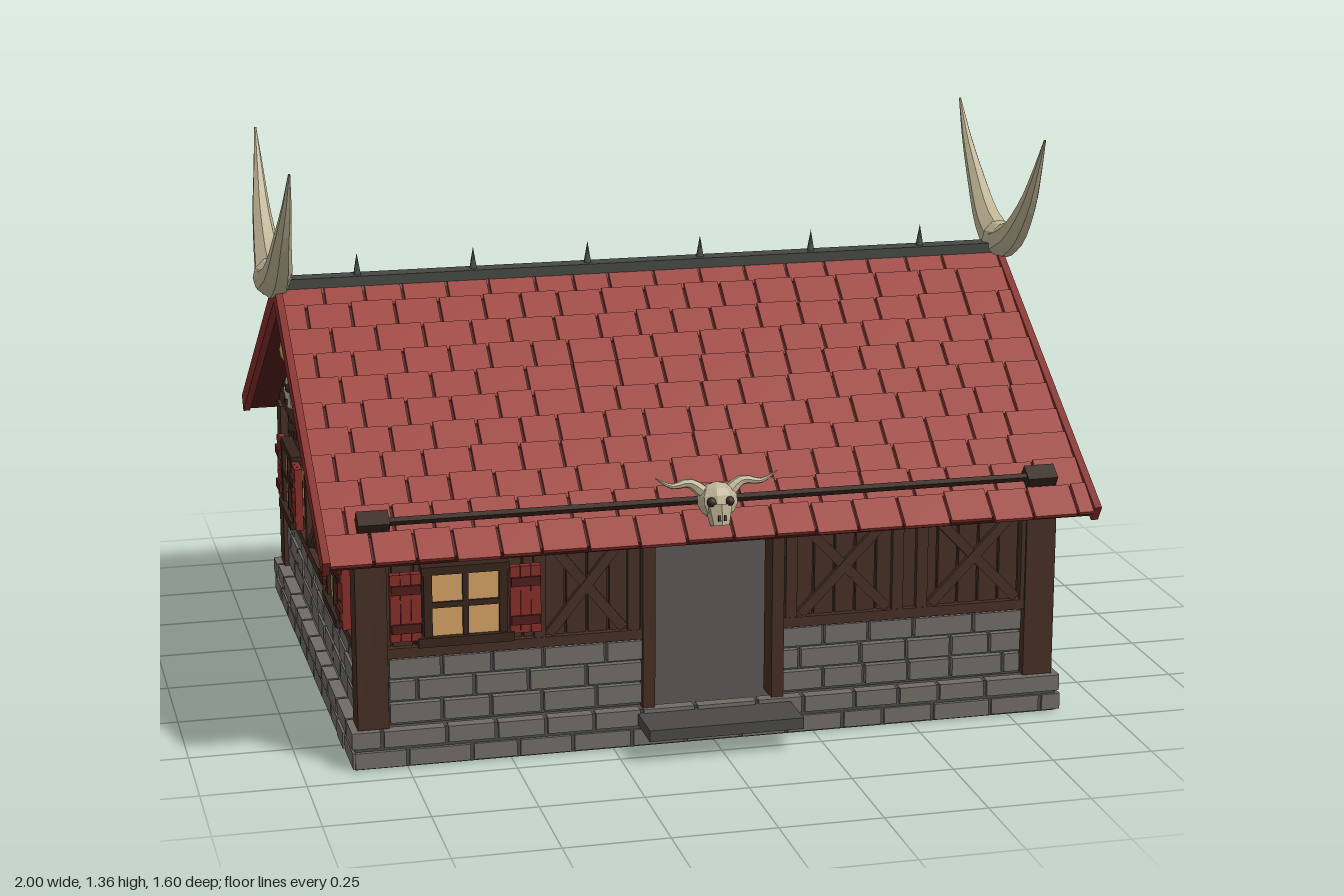
import * as THREE from 'three';
import { mergeGeometries } from 'three/addons/utils/BufferGeometryUtils.js';

const mat = (name, color, side = THREE.FrontSide) => {
  const m = new THREE.MeshStandardMaterial({ color, side });
  m.name = name;
  return m;
};

export function createModel() {
  const M = {
    roof: mat('roof red', 0x9a3a32),
    roofDark: mat('dark roof red', 0x4f1c18),
    trim: mat('shutter red', 0x842d27),
    stone: mat('stone', 0x706b67),
    mortar: mat('mortar', 0x4b4846),
    wood: mat('wood', 0x452e23),
    woodDark: mat('dark wood', 0x36241b),
    bone: mat('bone', 0xbdb294, THREE.DoubleSide),
    glass: mat('lit glass', 0xd2a062),
    iron: mat('iron', 0x454843),
  };
  const model = new THREE.Group();
  const ZC = -0.025;
  let seed = 7;
  const rnd = () => (seed = (seed * 16807) % 2147483647) / 2147483647;

  const add = (parent, name, geo, m, x = 0, y = 0, z = 0) => {
    const mesh = new THREE.Mesh(geo, m);
    mesh.name = name;
    mesh.position.set(x, y, z);
    parent.add(mesh);
    return mesh;
  };
  const group = (parent, name, x = 0, y = 0, z = 0) => {
    const g = new THREE.Group();
    g.name = name;
    g.position.set(x, y, z);
    parent.add(g);
    return g;
  };
  // merged boxes: [width, height, depth, x, y, z, rotationZ, rotationX]
  const boxes = (parent, name, m, list) => add(parent, name, mergeGeometries(list.map(
    ([w, h, d, x, y, z, rz = 0, rx = 0]) =>
      new THREE.BoxGeometry(w, h, d).rotateX(rx).rotateZ(rz).translate(x, y, z))), m);
  const faceted = (geo) => {
    const g = geo.index ? geo.toNonIndexed() : geo;
    g.computeVertexNormals();
    return g;
  };
  // tapered tube along a smooth path
  const horn = (points, r, segs = 9) => {
    const curve = new THREE.CatmullRomCurve3(points.map((p) => new THREE.Vector3(...p)));
    const geo = new THREE.TubeGeometry(curve, segs, r, 7);
    const p = geo.attributes.position, v = new THREE.Vector3();
    for (let i = 0; i < p.count; i++) {
      const t = Math.floor(i / 8) / segs, c = curve.getPointAt(t);
      v.fromBufferAttribute(p, i).sub(c).multiplyScalar(1 - 0.94 * t).add(c);
      p.setXYZ(i, v.x, v.y, v.z);
    }
    return faceted(geo);
  };
  // courses of staggered stones between a and b
  const courses = (a, b, y0, y1, rows, z) => {
    const list = [], h = (y1 - y0) / rows;
    for (let r = 0; r < rows; r++) {
      let x = a;
      let w = r % 2 ? 0.07 : 0.13;
      while (x < b - 0.005) {
        if (b - x - w < 0.04) w = b - x;
        list.push([w - 0.009, h - 0.009, 0.03, x + w / 2, y0 + h * (r + 0.5), z - 0.015 - rnd() * 0.004]);
        x += w;
        w = 0.1 + rnd() * 0.06;
      }
    }
    return list;
  };

  // horned skull facing +z
  const skull = (parent, name, x, y, z) => {
    const s = group(parent, name, x, y, z);
    add(s, 'cranium', faceted(new THREE.SphereGeometry(0.05, 9, 7).scale(1, 0.9, 0.75)), M.bone);
    add(s, 'snout', faceted(new THREE.CylinderGeometry(0.036, 0.024, 0.05, 7).scale(1, 1, 0.8)), M.bone, 0, -0.035, 0.014);
    for (const k of [-1, 1]) {
      add(s, 'eyeSocket', new THREE.SphereGeometry(0.012, 7, 5), M.woodDark, k * 0.022, -0.004, 0.03);
      add(s, 'nostril', new THREE.BoxGeometry(0.006, 0.014, 0.006), M.woodDark, k * 0.007, -0.043, 0.037);
      add(s, 'skullHorn', horn([[k * 0.025, 0.015, 0], [k * 0.065, 0.045, 0], [k * 0.11, 0.04, 0.005],
        [k * 0.15, 0.062, 0.01]], 0.018), M.bone);
    }
    return s;
  };

  // window with frame and two banded shutters, outward +z
  const windowUnit = (parent, x, z) => {
    const w = group(parent, 'window', x, 0.395, z);
    add(w, 'pane', new THREE.BoxGeometry(0.17, 0.16, 0.085), M.glass, 0, 0, -0.037);
    boxes(w, 'windowFrame', M.woodDark, [
      [0.21, 0.02, 0.03, 0, 0.085, 0], [0.23, 0.022, 0.04, 0, -0.088, 0.003],
      [0.02, 0.17, 0.03, -0.09, 0, 0], [0.02, 0.17, 0.03, 0.09, 0, 0],
      [0.014, 0.16, 0.016, 0, 0, 0.004], [0.17, 0.014, 0.016, 0, 0, 0.004]]);
    for (const k of [-1, 1]) {
      boxes(w, 'shutter', M.trim, [-1, 0, 1].map((i) => [0.024, 0.165, 0.02, k * 0.143 + i * 0.025, 0, 0.006]));
      boxes(w, 'shutterBars', M.roofDark, [-0.05, 0.045].map((y) => [0.07, 0.022, 0.008, k * 0.143, y, 0.018]));
    }
  };

  // foundation, floor and step
  add(model, 'foundation', new THREE.BoxGeometry(1.75, 0.092, 1.4), M.mortar, 0, 0.046, ZC);
  add(model, 'doorStep', new THREE.BoxGeometry(0.38, 0.028, 0.14), M.mortar, 0, 0.07, 0.73);

  // one wall, local x along it and z outward
  const wall = (name, rotY, half, d, o) => {
    const g = group(model, name, 0, 0, ZC);
    g.rotation.y = rotY;
    const spans = o.door ? [[-half, -0.15], [0.15, half]] : [[-half, half]];
    const baseHalf = half + 0.05;
    boxes(g, 'baseStones', M.stone, courses(-baseHalf, baseHalf, 0, 0.098, 2, d + 0.02));
    boxes(g, 'lowerWall', M.mortar, spans.map(([a, b]) => [b - a, 0.17, 0.045, (a + b) / 2, 0.175, d - 0.05]));
    boxes(g, 'wallStones', M.stone, spans.flatMap(([a, b]) =>
      courses(Math.max(a, 0.04 - half), Math.min(b, half - 0.04), 0.098, 0.265, 3, d - 0.008)));
    // timber backing
    if (o.gable) {
      const s = new THREE.Shape([[-half, 0.26], [half, 0.26], [half, 0.56], [0, 0.985], [-half, 0.56]]
        .map((p) => new THREE.Vector2(...p)));
      add(g, 'gableWall', new THREE.ExtrudeGeometry(s, { depth: 0.04, bevelEnabled: false }), M.woodDark, 0, 0, d - 0.07);
    } else {
      boxes(g, 'timberWall', M.woodDark, spans.map(([a, b]) => [b - a, 0.28, 0.04, (a + b) / 2, 0.4, d - 0.05]));
    }
    // vertical planks
    const planks = [];
    for (const [a, b] of spans) {
      const n = Math.round((b - a) / 0.052), w = (b - a) / n;
      for (let i = 0; i < n; i++) {
        const x = a + (i + 0.5) * w;
        const top = o.gable ? 0.975 - 0.635 * (Math.abs(x) + w / 2) : 0.54;
        planks.push([w - 0.006, top - 0.262, 0.014, x, (top + 0.262) / 2, d - 0.026]);
      }
    }
    boxes(g, 'planks', M.wood, planks);
    // beams and crossed braces
    const beams = spans.map(([a, b]) => [b - a, 0.025, 0.03, (a + b) / 2, 0.278, d - 0.018]);
    beams.push([2 * half, 0.04, 0.03, 0, o.gable ? 0.577 : 0.522, d - 0.018]);
    for (const [x, w] of o.braces) {
      const len = Math.hypot(w, 0.25), ang = Math.atan2(0.25, w), y = 0.41;
      for (const k of [-1, 1]) {
        beams.push([len - 0.03, 0.024, 0.012, x, y, d - 0.012 + k * 0.001, k * ang]);
        beams.push([0.028, 0.26, 0.02, x + k * (w / 2 + 0.014), y, d - 0.014]);
      }
    }
    if (o.door) {
      for (const k of [-1, 1]) beams.push([0.03, 0.43, 0.07, k * 0.16, 0.305, d - 0.03]);
      beams.push([0.34, 0.045, 0.07, 0, 0.522, d - 0.03]);
    }
    boxes(g, 'timberFrame', M.wood, beams);
    for (const x of o.windows) windowUnit(g, x, d);
    if (o.gable) {
      skull(g, 'gableSkull', 0, 0.768, d + 0.025);
      add(g, 'lantern', faceted(new THREE.SphereGeometry(0.05, 12, 8)), M.glass, 0, 0.858, d + 0.025);
    }
  };
  const gable = { gable: true, windows: [-0.41, 0.41], braces: [[0, 0.34]] };
  wall('frontWall', 0, 0.83, 0.69, { door: true, windows: [-0.605], braces: [[-0.31, 0.2], [0.33, 0.24], [0.66, 0.24]] });
  wall('backWall', Math.PI, 0.83, 0.69, { windows: [-0.62, 0.2], braces: [[-0.21, 0.28], [0.62, 0.28]] });
  wall('rightWall', Math.PI / 2, 0.66, 0.865, gable);
  wall('leftWall', -Math.PI / 2, 0.66, 0.865, gable);

  // corner posts
  const posts = [];
  for (const x of [-1, 1]) for (const z of [-1, 1])
    posts.push([0.075, 0.45, 0.075, x * 0.828, 0.32, ZC + z * 0.655]);
  boxes(model, 'cornerPosts', M.wood, posts);

  // roof slopes, local z runs down from the ridge
  const PITCH = 0.566, LEN = 0.918, ROWS = 11;
  for (const side of [0, 1]) {
    const half = group(model, side ? 'backRoof' : 'frontRoof', 0, 1.03, ZC);
    half.rotation.y = side * Math.PI;
    const slope = group(half, 'slope');
    slope.rotation.x = PITCH;
    add(slope, 'roofDeck', new THREE.BoxGeometry(1.87, 0.024, LEN - 0.012), M.roofDark, 0, -0.026, LEN / 2 - 0.006);
    const tiles = [], step = LEN / ROWS;
    for (let r = 0; r < ROWS; r++) {
      let x = -0.935, w = r % 2 ? 0.055 : 0.105;
      while (x < 0.934) {
        if (0.935 - x - w < 0.04) w = 0.935 - x;
        tiles.push([w - 0.007, 0.011, step + 0.004, x + w / 2, -0.008, (r + 0.5) * step + (rnd() - 0.5) * 0.008, 0, 0.1]);
        x += w;
        w = 0.09 + rnd() * 0.035;
      }
    }
    boxes(slope, 'shingles', M.roof, tiles);
    boxes(slope, 'bargeBoards', M.trim, [-1, 1].map((k) => [0.018, 0.045, LEN, k * 0.941, -0.018, LEN / 2]));
    // snow rail
    boxes(slope, 'snowRail', M.woodDark, [[1.7, 0.014, 0.014, 0, 0.016, 0.815],
      ...[-1, 1].map((k) => [0.075, 0.035, 0.045, k * 0.82, 0.01, 0.81])]);
  }
  const eaveSkull = skull(model, 'eaveSkull', 0, 0.61, 0.695);
  eaveSkull.rotation.x = -0.3;

  // ridge cap and spikes
  const ridge = group(model, 'ridge', 0, 1.028, ZC);
  add(ridge, 'ridgeCap', new THREE.BoxGeometry(1.86, 0.025, 0.05), M.iron);
  for (let i = 0; i < 6; i++)
    add(ridge, 'ridgeSpike', new THREE.ConeGeometry(0.011, 0.06, 6), M.iron, -0.74 + i * 0.294, 0.037, 0);

  // large horns at both ridge ends
  for (const k of [-1, 1]) {
    const g = group(model, 'ridgeHorns', k * 0.95, 1.045, ZC);
    add(g, 'hornKnob', faceted(new THREE.SphereGeometry(0.05, 8, 6)), M.bone);
    for (const s of [-1, 1])
      add(g, 'ridgeHorn', horn([[0, -0.01, 0], [0, 0.035, s * 0.1], [0, 0.13, s * 0.2],
        [-k * 0.004, 0.225, s * 0.27], [-k * 0.006, 0.318, s * 0.325]], 0.046, 10), M.bone);
  }
  return model;
}
